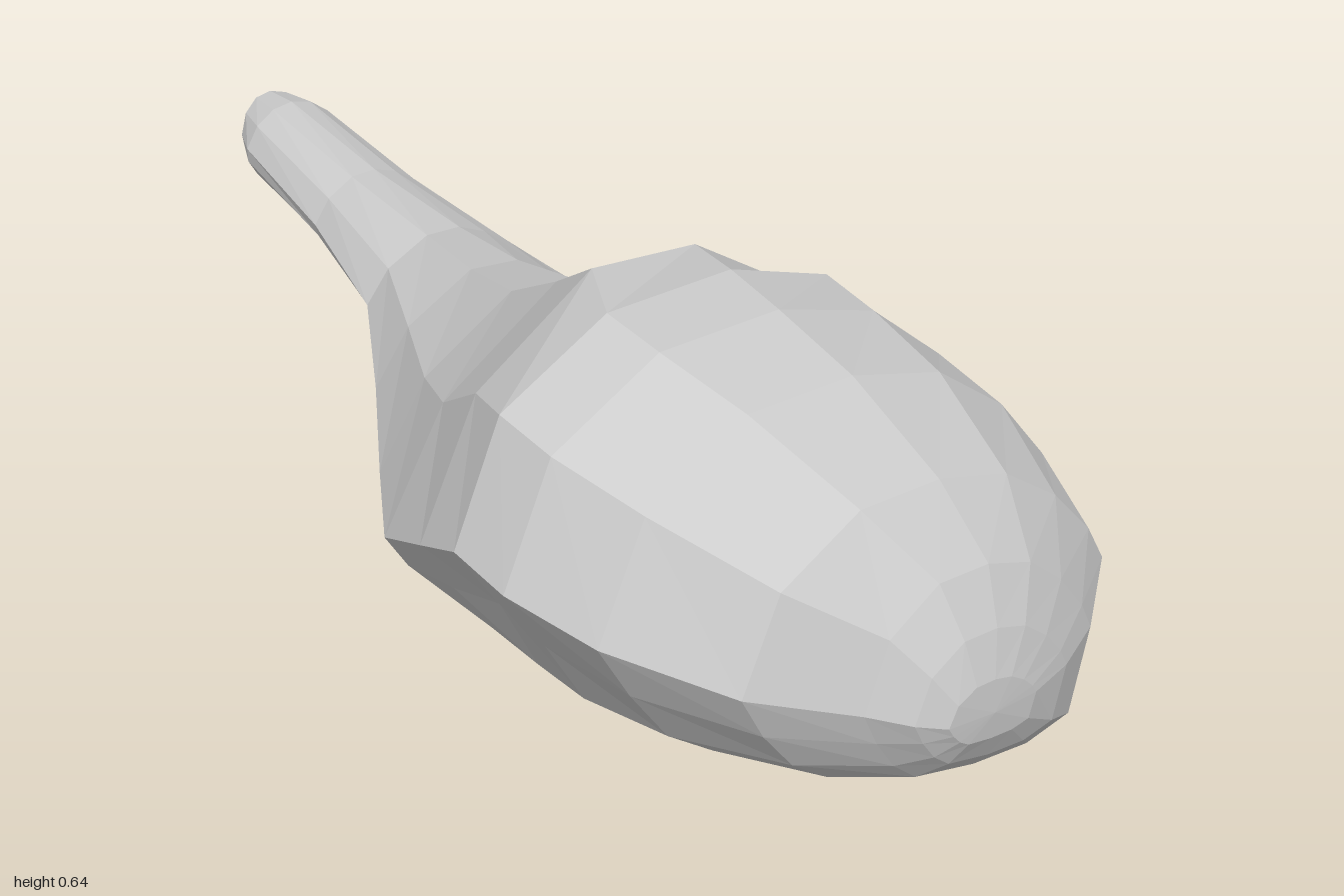
import * as THREE from 'three';

// Sections in unit coordinates, counter-clockwise seen from the front
const FRONT = [
  [0.24, 0.13], [0.5, 0.04], [0.74, 0], [0.93, 0.04], [1, 0.42], [0.95, 0.55], [0.84, 0.73],
  [0.69, 0.89], [0.5, 0.98], [0.29, 1], [0.09, 0.85], [0, 0.55], [0.06, 0.39], [0.14, 0.24],
];
const BELLY = [
  [0.23, 0.15], [0.5, 0.07], [0.81, 0], [1, 0.075], [0.98, 0.36], [0.92, 0.46], [0.83, 0.69],
  [0.69, 0.88], [0.5, 0.985], [0.27, 1], [0.08, 0.87], [0, 0.6], [0.08, 0.43], [0.15, 0.24],
];
const NECK = [
  [0.23, 0.12], [0.5, 0.05], [0.8, 0], [1, 0.09], [0.98, 0.34], [0.92, 0.43], [0.82, 0.57],
  [0.71, 0.75], [0.57, 0.94], [0.38, 1], [0.13, 0.77], [0, 0.43], [0.05, 0.31], [0.13, 0.2],
];
const ROUND = BELLY.map(([u, v]) => {
  const a = Math.atan2(v - 0.5, u - 0.5);
  return [0.5 + 0.5 * Math.cos(a), 0.5 + 0.5 * Math.sin(a)];
});
const FORMS = [FRONT, BELLY, NECK, ROUND];

// Stations: z, left x, right x, bottom y, top y, form (0 front, 1 belly, 2 neck, 3 round)
const STATIONS = [
  [0.996, -0.12, 0.04, 0.195, 0.29, 0],
  [0.975, -0.16, 0.12, 0.145, 0.35, 0],
  [0.935, -0.21, 0.21, 0.095, 0.42, 0],
  [0.85, -0.34, 0.325, 0.065, 0.51, 0],
  [0.7, -0.445, 0.41, 0.035, 0.6, 0.25],
  [0.56, -0.48, 0.45, 0.015, 0.637, 0.7],
  [0.45, -0.47, 0.475, 0, 0.645, 1],
  [0.33, -0.43, 0.46, 0.005, 0.635, 1.55],
  [0.17, -0.365, 0.44, 0.015, 0.525, 2],
  [0.0, -0.24, 0.4, 0.055, 0.42, 2],
  [-0.2, -0.09, 0.39, 0.105, 0.345, 2],
  [-0.4, 0.05, 0.38, 0.145, 0.3, 2.2],
  [-0.65, 0.14, 0.37, 0.16, 0.293, 2.5],
  [-0.92, 0.205, 0.39, 0.165, 0.303, 2.8],
  [-0.98, 0.24, 0.385, 0.165, 0.29, 2.8],
  // inside of the hollow stem end
  [-0.97, 0.25, 0.375, 0.175, 0.282, 2.8],
  [-0.88, 0.25, 0.365, 0.185, 0.275, 2.8],
];

// Section ring for one station; the stem end is cut at a slant
function ring([z, x0, x1, y0, y1, form]) {
  const k = Math.min(Math.floor(form), FORMS.length - 2);
  return FORMS[k].map(([u, v], j) => {
    const [u2, v2] = FORMS[k + 1][j];
    const s = THREE.MathUtils.lerp(u, u2, form - k);
    const t = THREE.MathUtils.lerp(v, v2, form - k);
    const slant = z < -0.95 ? (0.5 - t) * 0.04 : 0;
    return [x0 + (x1 - x0) * s, y0 + (y1 - y0) * t, z + slant];
  });
}

// Skin a list of rings, with a fan at either end
function loft(rings, frontTip, backTip) {
  const n = rings[0].length;
  const last = (rings.length - 1) * n;
  const points = [...rings.flat(), frontTip, backTip];
  const tip = rings.length * n;
  const index = [];
  for (let j = 0; j < n; j++) {
    const k = (j + 1) % n;
    index.push(tip, j, k, tip + 1, last + k, last + j);
    for (let i = 0; i < last; i += n) {
      const a = i + j, b = i + k, c = a + n, d = b + n;
      index.push(a, c, b, b, c, d);
    }
  }
  const geometry = new THREE.BufferGeometry();
  geometry.setAttribute('position', new THREE.Float32BufferAttribute(points.flat(), 3));
  geometry.setIndex(index);
  geometry.computeVertexNormals();
  return geometry;
}

export function createModel() {
  const group = new THREE.Group();
  group.name = 'gourd';
  const grey = new THREE.MeshStandardMaterial({ color: 0xcccccc, flatShading: true });
  grey.name = 'light grey';

  // Swollen body drawn out into a hollow-ended stem
  const body = new THREE.Mesh(
    loft(STATIONS.map(ring), [-0.04, 0.24, 1], [0.305, 0.23, -0.87]), grey);
  body.name = 'bodyAndStem';
  group.add(body);
  return group;
}
